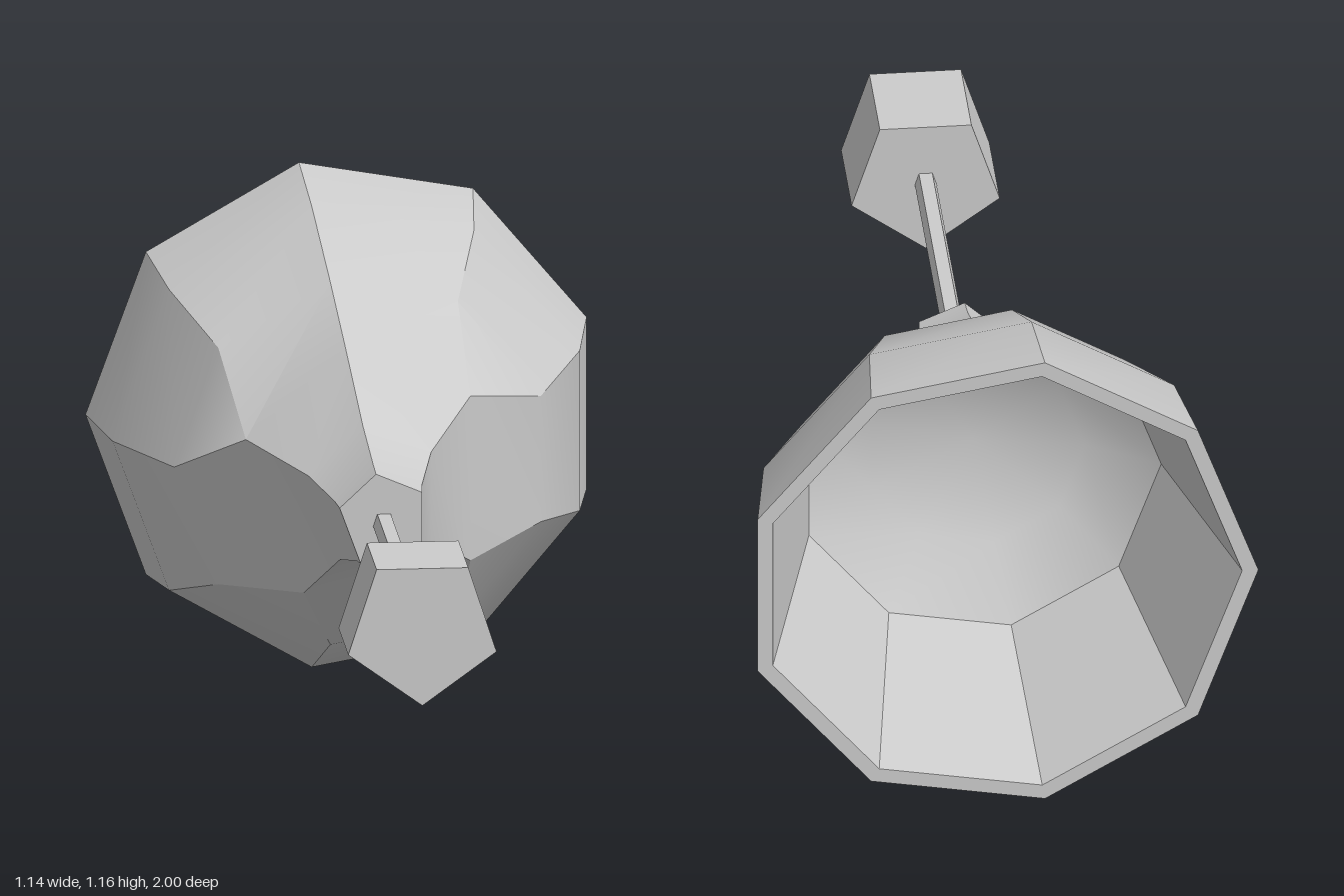
import * as THREE from 'three';
import { toCreasedNormals } from 'three/addons/utils/BufferGeometryUtils.js';

const CX = 0.018, CY = 0.583;
const material = new THREE.MeshStandardMaterial({ color: 0xcccccc });

// Nine-point ring; a "merged" ring joins neighbouring corners in pairs, leaving five
function ring(r, z, merged) {
  const corner = (k) => {
    const a = THREE.MathUtils.degToRad(100 + 40 * k);
    return new THREE.Vector3(CX + r * Math.cos(a), CY + r * Math.sin(a), z);
  };
  const pts = [];
  for (let k = 0; k < 9; k++) {
    if (!merged || k === 0) pts.push(corner(k));
    else {
      const first = k % 2 ? k : k - 1;
      pts.push(corner(first).lerp(corner(first + 1), 0.5));
    }
  }
  return pts;
}

// Skin a sequence of rings, dropping collapsed triangles
function skin(rings) {
  const pos = [];
  const tri = (a, b, c) => {
    const area = b.clone().sub(a).cross(c.clone().sub(a)).length();
    if (area > 1e-7) pos.push(...a, ...b, ...c);
  };
  for (let j = 0; j < rings.length - 1; j++) {
    for (let k = 0; k < 9; k++) {
      const n = (k + 1) % 9;
      const a = rings[j][k], b = rings[j][n], c = rings[j + 1][n], d = rings[j + 1][k];
      tri(a, b, c);
      tri(a, c, d);
    }
  }
  const geo = new THREE.BufferGeometry();
  geo.setAttribute('position', new THREE.Float32BufferAttribute(pos, 3));
  return toCreasedNormals(geo, THREE.MathUtils.degToRad(29));
}

// Five-sided bar along z with one corner pointing down
function pentagonBar(name, r, z0, z1) {
  const shape = new THREE.Shape();
  for (let k = 0; k < 5; k++) {
    const a = -Math.PI / 2 + (k * 2 * Math.PI) / 5;
    const x = r * Math.cos(a), y = r * Math.sin(a);
    if (k) shape.lineTo(x, y);
    else shape.moveTo(x, y);
  }
  shape.closePath();
  const geo = new THREE.ExtrudeGeometry(shape, { depth: z1 - z0, bevelEnabled: false });
  const mesh = new THREE.Mesh(geo, material);
  mesh.name = name;
  mesh.position.set(CX - 0.002, CY, z0);
  return mesh;
}

export function createModel() {
  const group = new THREE.Group();
  group.name = 'plunger';

  // Cup: inner dome and wall, rim, outer wall, neck and closed front
  const cup = new THREE.Mesh(skin([
    ring(0, -0.37),
    ring(0.25, -0.42),
    ring(0.415, -0.52),
    ring(0.553, -1),
    ring(0.59, -1),
    ring(0.55, -0.755),
    ring(0.432, -0.51),
    ring(0.32, -0.35, true),
    ring(0.175, -0.19, true),
    ring(0.125, -0.02, true),
    ring(0.117, 0.035, true),
    ring(0, 0.035),
  ]), material);
  cup.name = 'cup';
  group.add(cup);

  // Handle
  group.add(pentagonBar('rod', 0.026, 0.03, 0.77));
  group.add(pentagonBar('knob', 0.178, 0.757, 1));
  return group;
}
